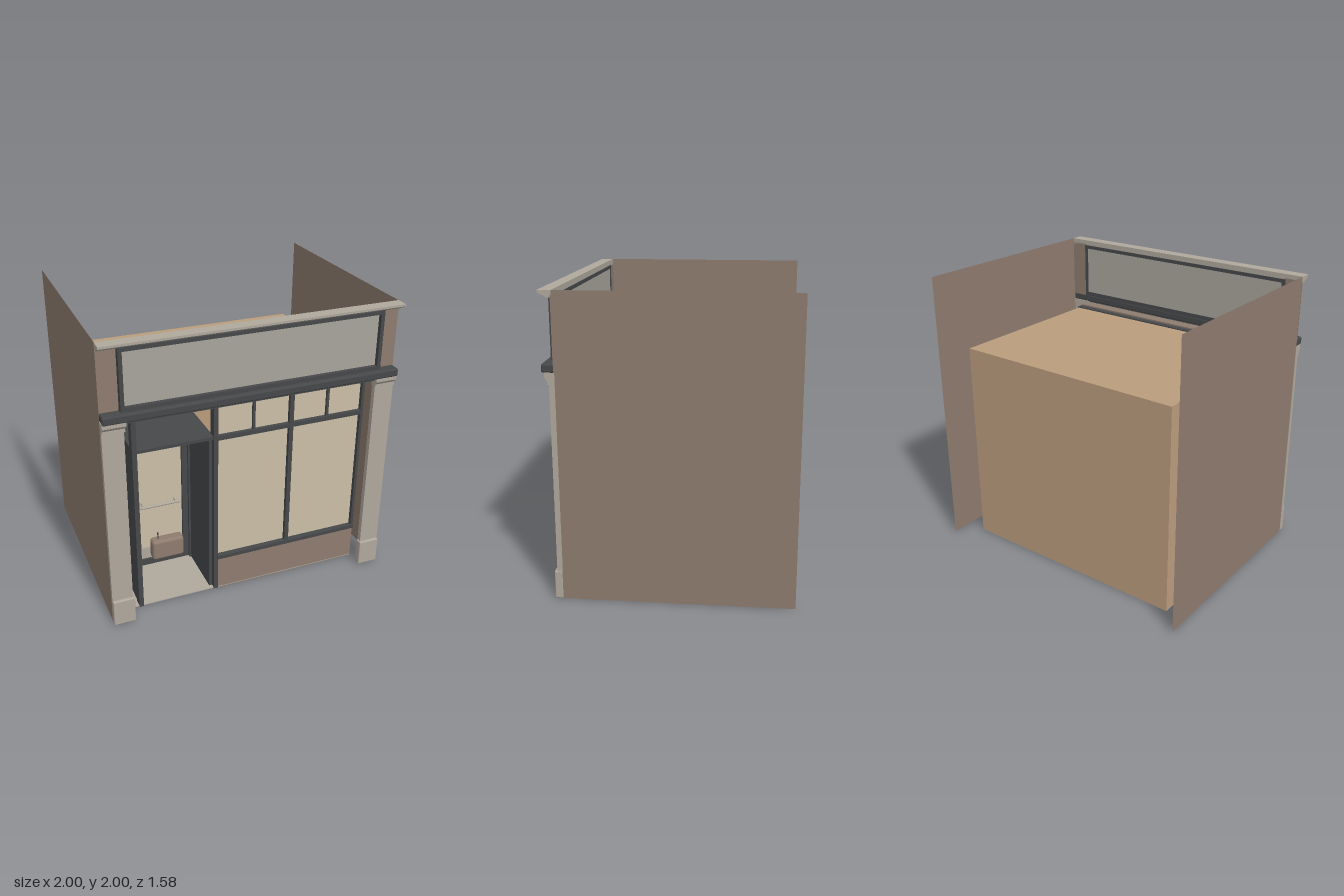
import * as THREE from 'three';
import { RoundedBoxGeometry } from 'three/addons/geometries/RoundedBoxGeometry.js';

const paint = (name, color, side = THREE.FrontSide) => {
  const m = new THREE.MeshStandardMaterial({ color, side });
  m.name = name;
  return m;
};

export function createModel() {
  const stone = paint('stone', 0xafa89d);
  const brown = paint('brown', 0x8e7b6f, THREE.DoubleSide);
  const tan = paint('tan', 0xba9c7d, THREE.DoubleSide);
  const cream = paint('cream', 0xcabea6, THREE.DoubleSide);
  const dark = paint('charcoal', 0x46484a);
  const panelGrey = paint('panel grey', 0xa8a49c);

  const model = new THREE.Group();
  const group = (name) => {
    const g = new THREE.Group();
    g.name = name;
    model.add(g);
    return g;
  };
  const add = (parent, name, geometry, material) => {
    const mesh = new THREE.Mesh(geometry, material);
    mesh.name = name;
    parent.add(mesh);
    return mesh;
  };
  // Box from its low and high limits on each axis
  const box = (parent, name, material, x0, x1, y0, y1, z0, z1, radius = 0) => {
    const s = [x1 - x0, y1 - y0, z1 - z0];
    const g = radius ? new RoundedBoxGeometry(...s, 3, radius) : new THREE.BoxGeometry(...s);
    g.translate((x0 + x1) / 2, (y0 + y1) / 2, (z0 + z1) / 2);
    return add(parent, name, g, material);
  };
  // Moulding: a [z, y] profile run along x
  const moulding = (parent, name, material, profile, x0, x1) => {
    const shape = new THREE.Shape(profile.map((p) => new THREE.Vector2(...p)));
    const g = new THREE.ExtrudeGeometry(shape, { depth: x1 - x0, bevelEnabled: false });
    g.rotateY(-Math.PI / 2).translate(x1, 0, 0);
    return add(parent, name, g, material);
  };
  const plane = (parent, name, material, w, h, pos, rx, ry) => {
    const mesh = add(parent, name, new THREE.PlaneGeometry(w, h), material);
    mesh.position.set(...pos);
    mesh.rotation.set(rx, ry, 0);
  };

  // Party walls
  for (const s of [-1, 1]) {
    plane(model, 'partyWall', brown, 1.5, 2, [s * 0.998, 1, -0.04], 0, s * Math.PI / 2);
  }

  // Room behind the shopfront, open at the front
  const room = group('room');
  plane(room, 'roomBackWall', tan, 1.7, 1.48, [0, 0.74, -0.64], 0, 0);
  plane(room, 'roomRoof', tan, 1.7, 1.23, [0, 1.48, -0.025], -Math.PI / 2, 0);
  for (const s of [-1, 1]) {
    plane(room, 'roomSideWall', tan, 1.25, 1.48, [s * 0.85, 0.74, -0.015], 0, s * Math.PI / 2);
  }
  box(room, 'floor', stone, -0.85, 0.85, 0.002, 0.008, -0.64, 0.63);
  box(room, 'counter', brown, -0.73, 0.72, 0, 0.4, -0.22, 0);

  // Pilasters with base and stepped capital
  for (const s of [-1, 1]) {
    const p = group(s < 0 ? 'rightPilaster' : 'leftPilaster');
    const part = (name, inner, y0, y1, z1, r) =>
      box(p, name, stone, Math.min(s, s * inner), Math.max(s, s * inner), y0, y1, 0.705, z1, r);
    part('pilasterBase', 0.85, 0, 0.19, 0.76, 0.008);
    part('pilasterShaft', 0.86, 0.19, 1.43, 0.74);
    part('capitalNeck', 0.855, 1.425, 1.45, 0.752);
    moulding(p, 'capitalTop', stone,
      [[0.705, 1.45], [0.752, 1.45], [0.768, 1.47], [0.768, 1.5], [0.705, 1.5]],
      s < 0 ? -1 : 0.85, s < 0 ? -0.85 : 1);
  }

  // Fascia: ledge, sign board, frame and cornice
  const fascia = group('fascia');
  box(fascia, 'ledge', dark, -1, 1, 1.5, 1.555, 0.705, 0.787, 0.012);
  box(fascia, 'ledgeTrim', dark, -0.85, 0.85, 1.475, 1.5, 0.705, 0.745);
  box(fascia, 'soffit', brown, -0.85, 0.85, 1.488, 1.498, 0.62, 0.71);
  for (const s of [-1, 1]) {
    box(fascia, 'fasciaEnd', brown, Math.min(s, s * 0.87), Math.max(s, s * 0.87), 1.55, 1.97, 0.705, 0.712);
    box(fascia, 'signFrameSide', dark, s * 0.865 - 0.0125, s * 0.865 + 0.0125, 1.55, 1.96, 0.7, 0.754);
  }
  box(fascia, 'signFrameTop', dark, -0.876, 0.876, 1.937, 1.962, 0.7, 0.754);
  box(fascia, 'signFrameBottom', dark, -0.876, 0.876, 1.553, 1.582, 0.7, 0.754);
  box(fascia, 'signPanel', panelGrey, -0.853, 0.853, 1.58, 1.94, 0.705, 0.725);
  moulding(fascia, 'cornice', stone,
    [[0.705, 1.955], [0.735, 1.955], [0.75, 1.968], [0.775, 1.975], [0.79, 1.985], [0.79, 2], [0.705, 2]],
    -1, 1);

  // Shop window: riser, frame bars and panes
  const win = group('shopWindow');
  const bar = (name, x0, x1, y0, y1, z0 = 0.575, z1 = 0.635) => box(win, name, dark, x0, x1, y0, y1, z0, z1);
  box(win, 'stallRiser', brown, -0.215, 0.85, 0, 0.252, 0.58, 0.63);
  bar('windowSill', -0.215, 0.85, 0.25, 0.277, 0.575, 0.645);
  bar('transomBar', -0.215, 0.85, 1.18, 1.212);
  bar('headBar', -0.85, 0.86, 1.462, 1.488);
  for (const [x0, x1, y0] of [[-0.79, -0.758, 0], [-0.243, -0.213, 0], [0.295, 0.325, 0.27], [0.832, 0.852, 0.27]]) {
    bar('windowPost', x0, x1, y0, 1.465);
  }
  for (const x of [0.042, 0.58]) bar('smallMullion', x - 0.009, x + 0.009, 1.2, 1.465, 0.59, 0.625);
  for (const [x0, x1] of [[-0.215, 0.3], [0.32, 0.835]]) {
    box(win, 'mainPane', cream, x0, x1, 0.27, 1.185, 0.602, 0.608);
    box(win, 'upperPane', cream, x0, x1, 1.205, 1.465, 0.602, 0.608);
  }

  // Recessed entry lined in dark panels
  const entry = group('entry');
  box(entry, 'entryWallRight', dark, -0.785, -0.755, 0, 1.21, 0.16, 0.6);
  box(entry, 'entryWallLeft', dark, -0.265, -0.24, 0, 1.21, 0.16, 0.6);
  box(entry, 'entryCeiling', dark, -0.785, -0.24, 1.19, 1.212, 0.16, 0.63);

  // Door with glass, kick plate and push bar
  const door = group('door');
  for (const [x0, x1] of [[-0.755, -0.725], [-0.278, -0.265]]) {
    box(door, 'doorJamb', dark, x0, x1, 0, 1.19, 0.16, 0.23);
  }
  for (const [x0, x1] of [[-0.725, -0.682], [-0.32, -0.278]]) {
    box(door, 'doorStile', dark, x0, x1, 0.01, 1.185, 0.17, 0.21);
  }
  box(door, 'doorTopRail', dark, -0.725, -0.278, 1.142, 1.19, 0.17, 0.21);
  box(door, 'doorBottomRail', dark, -0.725, -0.278, 0.01, 0.058, 0.17, 0.21);
  box(door, 'doorGlass', cream, -0.685, -0.318, 0.15, 1.145, 0.187, 0.193);
  box(door, 'kickPlate', stone, -0.685, -0.318, 0.055, 0.15, 0.187, 0.195);
  const pushBar = add(door, 'pushBar', new THREE.CapsuleGeometry(0.01, 0.285, 4, 10), stone);
  pushBar.rotation.z = Math.PI / 2;
  pushBar.position.set(-0.5, 0.53, 0.25);
  for (const x of [-0.62, -0.38]) box(door, 'pushBarBracket', stone, x - 0.006, x + 0.006, 0.524, 0.536, 0.19, 0.25);

  // Small rounded box with an upright pin
  const bag = group('entryBox');
  box(bag, 'boxBody', brown, -0.65, -0.425, 0.28, 0.43, 0.46, 0.54, 0.022);
  box(bag, 'boxPin', dark, -0.604, -0.598, 0.42, 0.48, 0.497, 0.503);

  return model;
}
